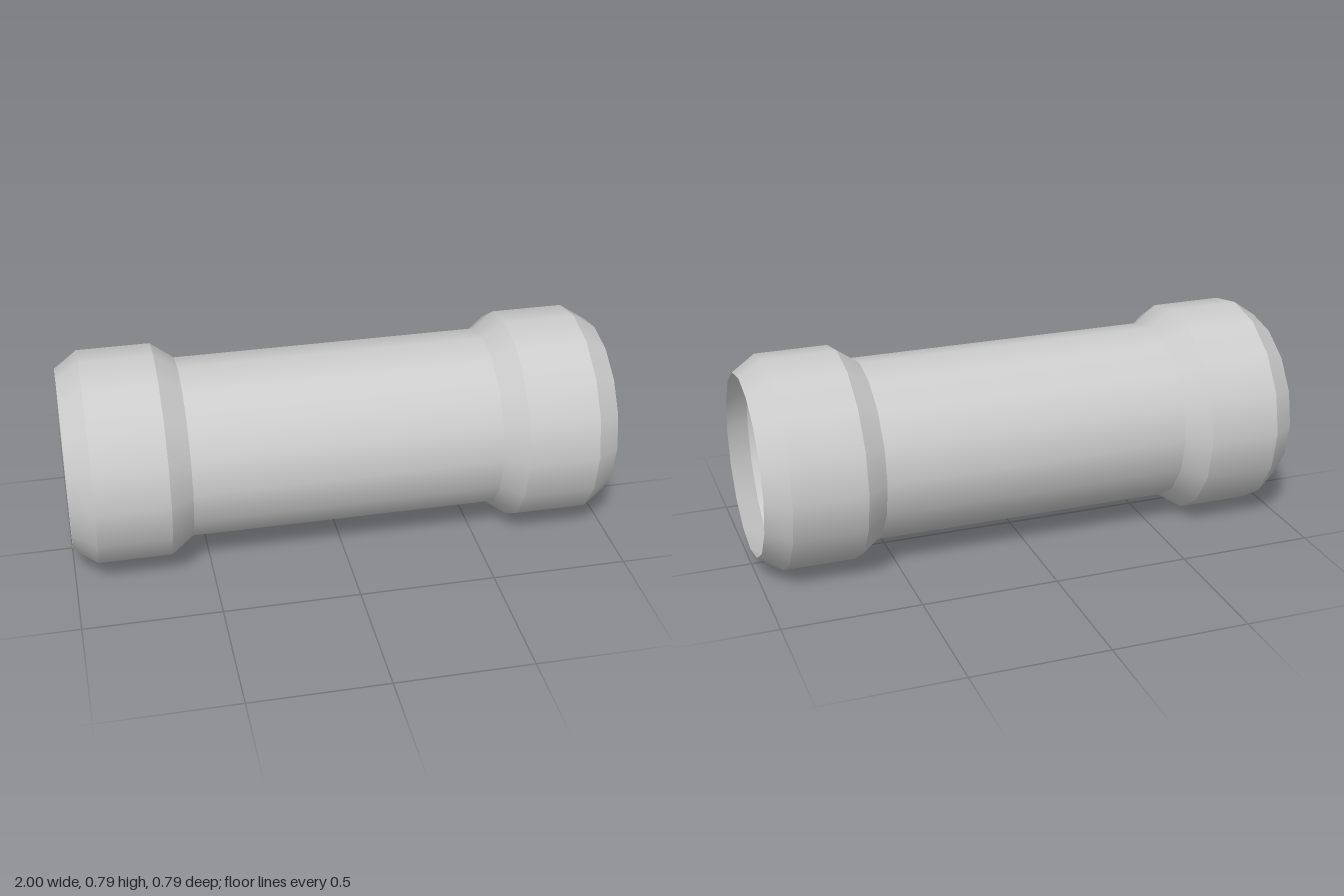
import * as THREE from 'three';

const SIDES = 16;
const TUBE_R = 0.333;
const material = new THREE.MeshStandardMaterial({ color: 0xcccccc, side: THREE.DoubleSide });

// Open conical band along x, running from x0 (radius r0) to x1 (radius r1)
function band(name, x0, r0, x1, r1) {
  const geometry = new THREE.CylinderGeometry(r1, r0, x1 - x0, SIDES, 1, true);
  geometry.rotateZ(-Math.PI / 2);
  geometry.translate((x0 + x1) / 2, 0, 0);
  const mesh = new THREE.Mesh(geometry, material);
  mesh.name = name;
  return mesh;
}

// Hollow collar: chamfer, straight ring, chamfer
function collar(name, xs, radius) {
  const group = new THREE.Group();
  group.name = name;
  const radii = [TUBE_R, radius, radius, TUBE_R];
  const names = ['lowerChamfer', 'ring', 'upperChamfer'];
  names.forEach((part, i) => {
    group.add(band(part, xs[i], radii[i], xs[i + 1], radii[i + 1]));
  });
  return group;
}

export function createModel() {
  const model = new THREE.Group();
  model.name = 'pipe';

  const body = new THREE.Group();
  body.name = 'pipeBody';
  body.position.y = 0.393;
  model.add(body);

  // Straight middle tube, open at both ends
  body.add(band('tube', -0.567, TUBE_R, 0.567, TUBE_R));

  // End collars, the right one a hair wider
  body.add(collar('rightCollar', [-1, -0.915, -0.65, -0.567], 0.393));
  body.add(collar('leftCollar', [0.567, 0.647, 0.913, 1], 0.39));

  return model;
}
